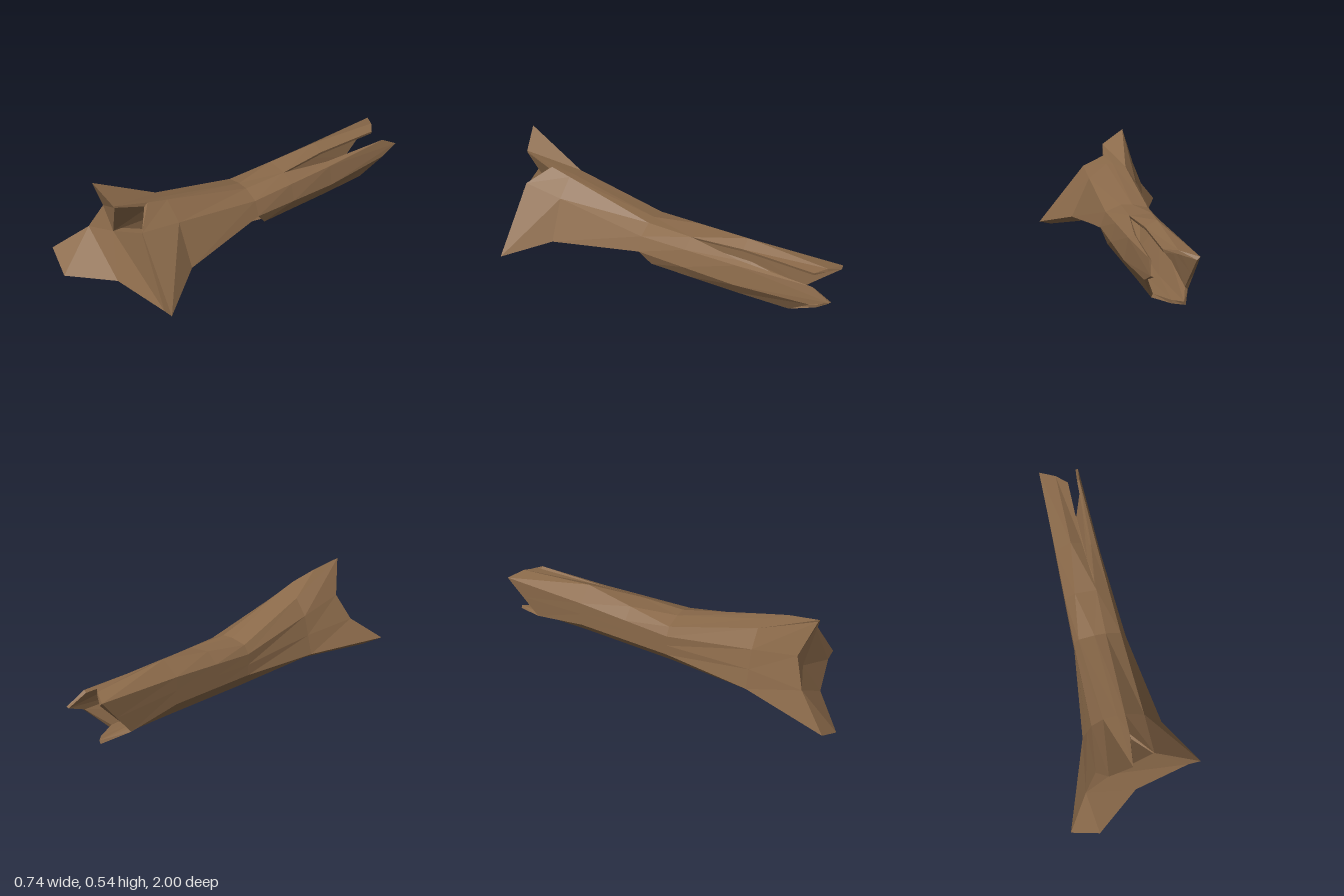
import * as THREE from 'three';

const N = 11; // points round the log: right flank, over the top, down the left side, along the belly

// Flared root end, as [x, y, z]
const ROOTS = [
  [.365, .015, .74], [.105, .345, .72], [0, .42, .62], [-.02, .46, .79], [-.147, .54, .83], [-.197, .35, .76],
  [-.26, .21, .82], [-.37, .08, .98], [-.225, 0, 1], [0, .027, .82], [.3, 0, .74],
].map(p => new THREE.Vector3(...p));

// The left side bows evenly, so its middle point is put halfway between its neighbours
function fillSide(points) {
  const ring = points.map(p => new THREE.Vector3(...p));
  ring.splice(6, 0, ring[5].clone().lerp(ring[6], .5));
  return ring;
}
// Flat section of the trunk at depth z, from [x, y] points
const section = (z, points) => fillSide(points.map(([x, y]) => [x, y, z]));

const neck = section(.51, [[.2, .09], [.1, .31], [0, .39], [-.04, .385], [-.11, .37],
  [-.17, .28], [-.22, .07], [-.125, .02], [0, 0], [.13, .065]]);
const waist = section(.03, [[.11, .14], [.08, .22], [0, .255], [-.06, .255], [-.145, .235],
  [-.172, .19], [-.172, .075], [-.11, 0], [0, 0], [.08, .06]]);
const hump = section(-.5, [[.075, .1], [.055, .212], [.025, .225], [-.025, .26], [-.085, .29],
  [-.172, .22], [-.17, .08], [-.1, 0], [-.03, 0], [.01, 0]]);

// The belly closes further back than the rest of the waist
waist[9].z = -.13;
waist[10].z = -.03;

// Splintered far end
const splinters = fillSide([[.055, .12, -.9], [.047, .165, -1], [.037, .22, -.9], [-.03, .25, -.88], [-.09, .255, -.93],
  [-.175, .235, -.98], [-.165, .035, -.8], [-.12, .012, -.95], [-.07, .005, -.9], [0, 0, -.78]]);

// The top slot starts at one point, between waist and hump
const slotStart = waist.map((p, k) => p.clone().lerp(hump[k], .47));
slotStart[2].set(0, .253, -.22);
slotStart[3].copy(slotStart[2]);

const OUTER = [ROOTS, neck, waist, slotStart, hump, splinters];

// Small triangular mouth of the hollow in the root end
const right = new THREE.Vector3(.1, .34, .72);
const left = new THREE.Vector3(-.115, .24, .76);
const top = new THREE.Vector3(-.02, .45, .79);
const lip = new THREE.Vector3(0, .405, .64);
const side = ROOTS[6];
const mouth = [right, right, lip, top, top, left, side, side, side, left, right];

// Inner wall: each section drawn in towards its middle
function shrink(ring) {
  const middle = ring.reduce((sum, p) => sum.add(p), new THREE.Vector3()).divideScalar(N);
  return ring.map(p => p.clone().lerp(middle, .13).setZ(p.z));
}
const INNER = [mouth, ...OUTER.slice(1).map(shrink)];

function meshFrom(name, corners, material) {
  const geometry = new THREE.BufferGeometry().setFromPoints(corners);
  geometry.computeVertexNormals();
  const mesh = new THREE.Mesh(geometry, material);
  mesh.name = name;
  return mesh;
}

// Skin over the sections, leaving the top slot and the gap in the belly open
function skin(rings, inward) {
  const corners = [];
  const tri = (a, b, c) => corners.push(...(inward ? [a, c, b] : [a, b, c]));
  for (let i = 0; i < rings.length - 1; i++) {
    for (let k = 0; k < N; k++) {
      if (k === 2 && i >= 3) continue; // top slot
      const n = (k + 1) % N;
      const a = rings[i][k], b = rings[i][n], c = rings[i + 1][n], d = rings[i + 1][k];
      const gap = i === 1 && k >= 8; // belly gap
      if (!gap || k === 8) tri(a, d, c);
      if (!gap || k === 10) tri(a, c, b);
    }
  }
  return corners;
}

// Strip of wood joining the outer and inner walls along a path of [ring, point]
function rim(path) {
  const corners = [];
  for (let j = 0; j < path.length - 1; j++) {
    const [i, k] = path[j], [m, n] = path[j + 1];
    const a = OUTER[i][k], b = OUTER[m][n], c = INNER[m][n], d = INNER[i][k];
    corners.push(a, b, d, b, c, d);
  }
  return corners;
}

export function createModel() {
  const bark = new THREE.MeshStandardMaterial({ color: 0x8b6a4a, flatShading: true, side: THREE.DoubleSide });
  bark.name = 'bark brown';

  const log = new THREE.Group();
  log.name = 'hollowLog';
  log.add(meshFrom('outerBark', skin(OUTER, false), bark));
  log.add(meshFrom('innerHollow', skin(INNER, true), bark));

  // Root end face around the mouth
  const round = Array.from({ length: N + 1 }, (_, k) => k % N);
  log.add(meshFrom('rootFace', rim(round.map(k => [0, k])), bark));

  // Broken far end together with both edges of the top slot
  const end = Array.from({ length: N }, (_, j) => [5, (j + 3) % N]);
  const brokenEdge = [[3, 3], [4, 3], ...end, [4, 2], [3, 2]];
  log.add(meshFrom('brokenEnd', rim(brokenEdge.reverse()), bark));

  // Edge of the gap in the belly
  const gapEdge = [[1, 8], [1, 9], [1, 10], [2, 0], [2, 10], [2, 9], [1, 8]];
  log.add(meshFrom('bellyGapEdge', rim(gapEdge), bark));
  return log;
}
